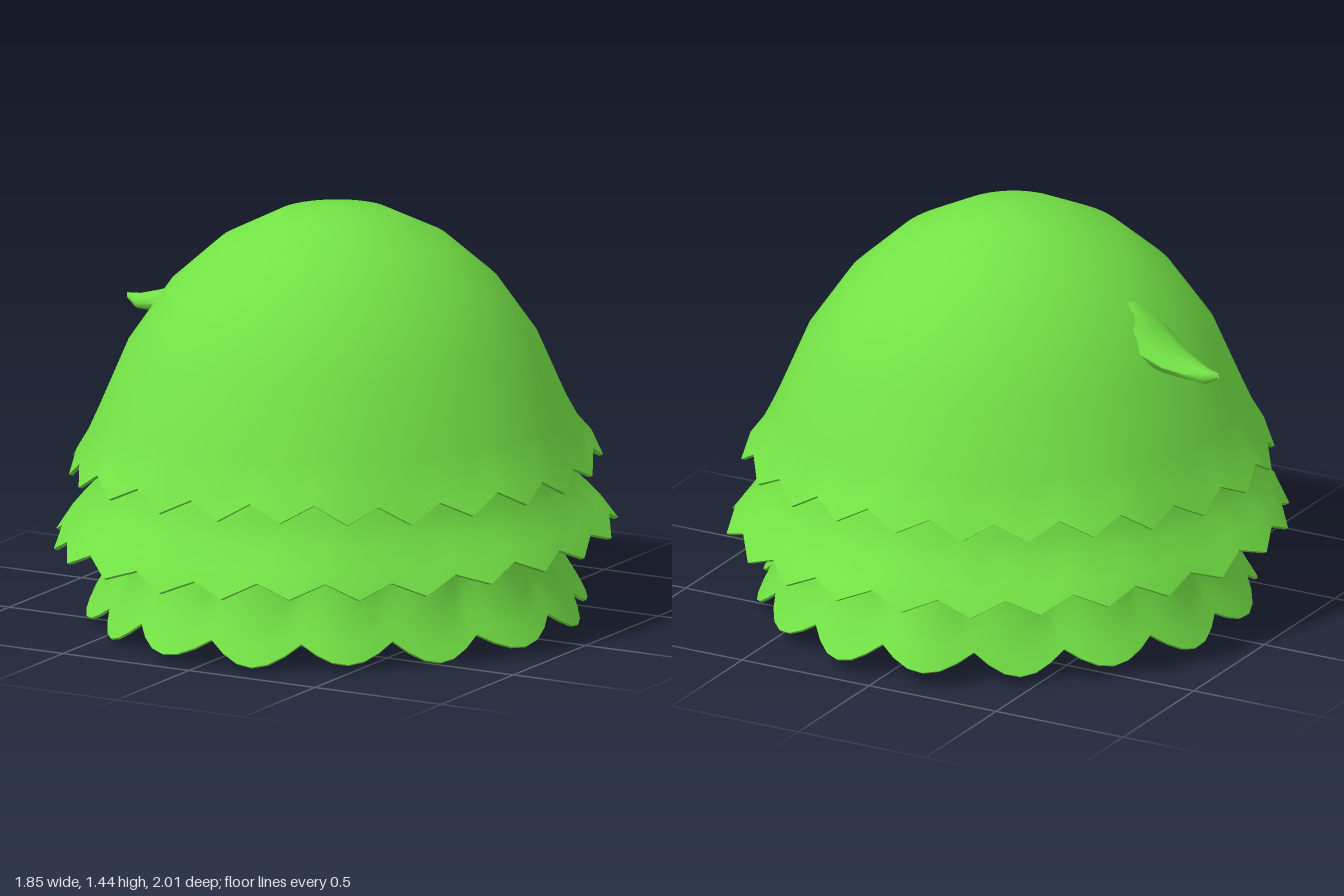
import * as THREE from 'three';
import { toCreasedNormals } from 'three/addons/utils/BufferGeometryUtils.js';

const material = new THREE.MeshStandardMaterial({ color: 0x73e245, side: THREE.DoubleSide });

// Skin a grid of points, rows closed into rings
function skin(rows, crease) {
  const n = rows[0].length;
  const index = [];
  for (let i = 0; i < rows.length - 1; i++) {
    for (let j = 0; j < n; j++) {
      const a = i * n + j, b = i * n + (j + 1) % n;
      if (rows[i][0].distanceTo(rows[i][1]) > 1e-4) index.push(a, a + n, b);
      if (rows[i + 1][0].distanceTo(rows[i + 1][1]) > 1e-4) index.push(b, a + n, b + n);
    }
  }
  const geometry = new THREE.BufferGeometry().setFromPoints(rows.flat());
  geometry.setIndex(index);
  return toCreasedNormals(geometry, crease);
}

// Leaf tier: profile points are [radius, y, share of the tooth offset]
function tier({ profile, teeth, steps, phase, drop, flare, depth, skew, pinch, sag, rounded }) {
  const count = teeth * steps;
  const rows = profile.map(([r, y, w]) => Array.from({ length: count }, (_, j) => {
    const angle = phase + j / count * Math.PI * 2;
    const u = (j % steps) / steps;
    // 1 at the tip of a tooth, 0 in the notch
    const tip = rounded ? Math.abs(Math.cos(u * Math.PI)) : Math.abs(1 - 2 * u);
    // slightly uneven teeth, a rim higher at the back and lower at the sides
    const uneven = 0.008 * Math.sin(angle * 7 + teeth) * w;
    const lift = w * (sag * Math.cos(2 * angle) - 0.012 * Math.cos(angle));
    // plan outline: longer along one diagonal, drawn in at all four
    const plan = 1 - skew * Math.sin(2 * angle) - pinch * Math.sin(2 * angle) ** 2;
    const radius = (r + w * flare * (tip - 0.5) + uneven) * plan;
    return new THREE.Vector3(
      radius * Math.sin(angle),
      y - w * drop * (tip - 0.5) + uneven + lift,
      radius * Math.cos(angle) * depth
    );
  }));
  return skin(rows, 1.0);
}

const LOWER = {
  teeth: 16, steps: 6, phase: 0.216, drop: 0.07, flare: 0.045, depth: 1.105,
  skew: 0.01, pinch: 0.04, sag: 0.012, rounded: true
};

const TIERS = [
  {
    name: 'domeTier', teeth: 24, steps: 2, phase: 0.07, drop: 0.06, flare: 0.025, depth: 1.045,
    skew: 0.025, pinch: 0, sag: 0.01,
    profile: [[0, 1.443, 0], [0.19, 1.415, 0], [0.385, 1.315, 0], [0.55, 1.165, 0], [0.685, 0.965, 0],
      [0.785, 0.725, 0.1], [0.825, 0.64, 0.4], [0.877, 0.557, 1], [0.865, 0.552, 1], [0.75, 0.62, 0]]
  },
  {
    name: 'middleTier', teeth: 24, steps: 2, phase: 0.131, drop: 0.05, flare: 0.03, depth: 1.085,
    skew: 0.03, pinch: 0, sag: 0,
    profile: [[0.73, 0.66, 0], [0.768, 0.52, 0], [0.805, 0.44, 0.25], [0.865, 0.37, 0.6],
      [0.913, 0.305, 1], [0.9, 0.299, 1], [0.82, 0.35, 0.3], [0.66, 0.4, 0]]
  },
  {
    name: 'lowerTier', ...LOWER,
    profile: [[0.725, 0.42, 0], [0.745, 0.28, 0.8], [0.765, 0.2, 0.9], [0.8, 0.13, 1],
      [0.84, 0.062, 1], [0.832, 0.056, 1], [0.785, 0.125, 1], [0.752, 0.175, 0.5]]
  },
  // flat underside closing the bush
  { name: 'underside', ...LOWER, profile: [[0.752, 0.175, 0.5], [0, 0.17, 0]] }
];

// Side leaf stations: [x, y, z, half width, half height]
const LEAF = [
  [-0.44, 1.13, -0.05, 0.06, 0.11],
  [-0.52, 1.1, -0.05, 0.09, 0.095],
  [-0.6, 1.052, -0.05, 0.11, 0.065],
  [-0.68, 1.016, -0.062, 0.09, 0.042],
  [-0.75, 1, -0.073, 0.062, 0.034],
  [-0.82, 0.988, -0.083, 0.034, 0.026],
  [-0.87, 1.0, -0.09, 0.004, 0.01]
];

function sideLeaf() {
  const sides = 10;
  const rows = LEAF.map(([x, y, z, w, h]) => Array.from({ length: sides }, (_, j) => {
    const a = j / sides * Math.PI * 2;
    return new THREE.Vector3(x, y + h * Math.sin(a), z + w * Math.cos(a));
  }));
  return skin(rows, 1.0);
}

export function createModel() {
  const group = new THREE.Group();
  group.name = 'bush';
  const add = (name, geometry) => {
    const mesh = new THREE.Mesh(geometry, material);
    mesh.name = name;
    group.add(mesh);
    return mesh;
  };

  for (const spec of TIERS) {
    const mesh = add(spec.name, tier(spec));
    // the lowest parts sit slightly off centre
    if (spec.rounded) mesh.position.x = 0.015;
  }
  add('sideLeaf', sideLeaf());
  return group;
}
